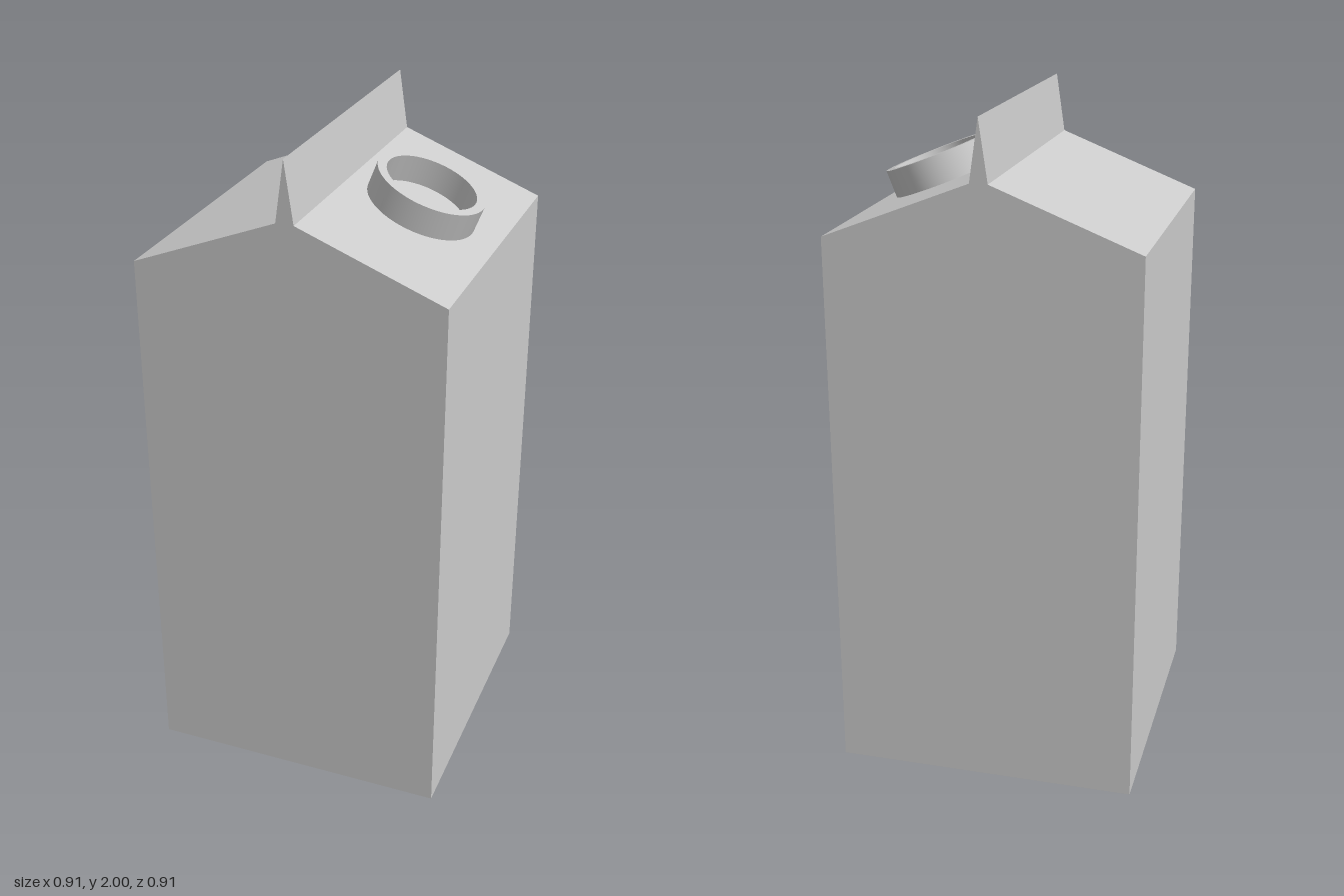
import * as THREE from 'three';
import { toCreasedNormals } from 'three/addons/utils/BufferGeometryUtils.js';

const HALF = 0.453;          // half width and half depth of the carton
const SHOULDER = 1.655;      // top of the straight walls
const FIN = { x: 0.026, y: 1.823 };   // where the roof meets the top seal

export function createModel() {
  const group = new THREE.Group();
  const material = new THREE.MeshStandardMaterial({ color: 0xcccccc });

  // Carton: gabled outline with a tapering seal, run from front to back
  const outline = new THREE.Shape([
    [-HALF, 0], [HALF, 0], [HALF, SHOULDER], [FIN.x, FIN.y],
    [0, 2], [-FIN.x, FIN.y], [-HALF, SHOULDER],
  ].map(([x, y]) => new THREE.Vector2(x, y)));
  const cartonGeometry = new THREE.ExtrudeGeometry(outline, { depth: 2 * HALF, bevelEnabled: false });
  cartonGeometry.translate(0, 0, -HALF);
  const carton = new THREE.Mesh(cartonGeometry, material);
  carton.name = 'carton';
  group.add(carton);

  // Spout: open ring standing square on the left roof panel
  const ring = new THREE.Shape().absarc(0, 0, 0.163, 0, Math.PI * 2, false);
  ring.holes.push(new THREE.Path().absarc(0, 0, 0.136, 0, Math.PI * 2, true));
  const spoutGeometry = new THREE.ExtrudeGeometry(ring, {
    depth: 0.083, bevelEnabled: false, curveSegments: 32,
  });
  spoutGeometry.rotateX(-Math.PI / 2);
  const spout = new THREE.Mesh(toCreasedNormals(spoutGeometry, Math.PI / 6), material);
  spout.name = 'spout';
  const slope = (FIN.y - SHOULDER) / (HALF - FIN.x);
  const x = 0.225;
  spout.position.set(x, SHOULDER + (HALF - x) * slope, 0);
  spout.rotation.z = -Math.atan(slope);
  group.add(spout);

  return group;
}
